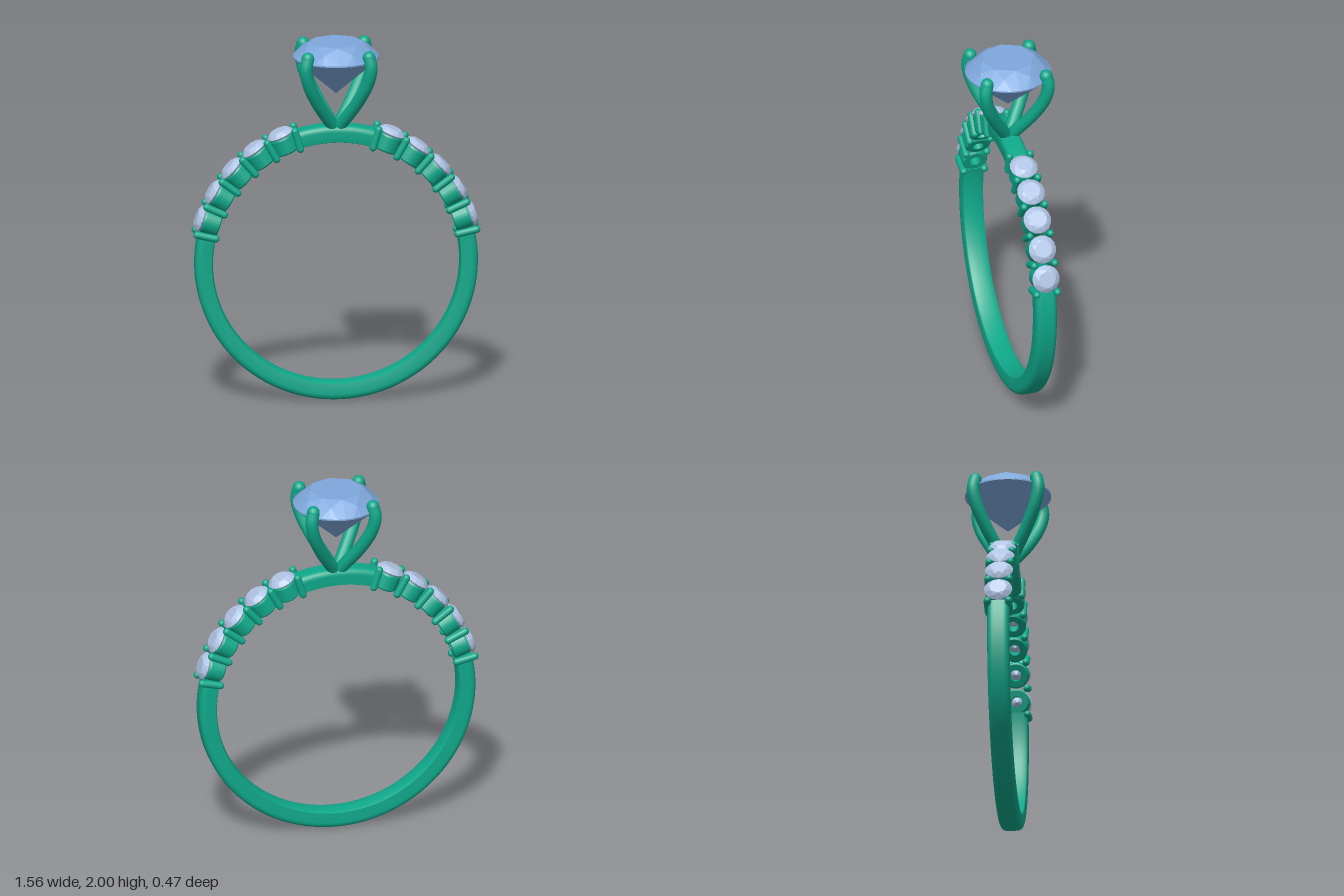
import * as THREE from 'three';
import { ConvexGeometry } from 'three/addons/geometries/ConvexGeometry.js';

const CENTRE_Y = 0.77;
const DEG = Math.PI / 180;

const metal = new THREE.MeshStandardMaterial({ color: 0x0fa88a, side: THREE.DoubleSide });
const blueStone = new THREE.MeshStandardMaterial({ color: 0x7fa8dc, flatShading: true });
const paleStone = new THREE.MeshStandardMaterial({ color: 0xb0c4e4, flatShading: true });

function add(parent, name, geometry, material) {
  const mesh = new THREE.Mesh(geometry, material);
  mesh.name = name;
  parent.add(mesh);
  return mesh;
}

// Brilliant cut as a convex hull; the girdle lies at y = 0 with radius 1
function brilliant(girdleCount) {
  const points = [new THREE.Vector3(0, -0.89, 0)];
  const ring = (count, radius, y, offset = 0) => {
    for (let i = 0; i < count; i++) {
      const a = (i + offset) / count * Math.PI * 2;
      points.push(new THREE.Vector3(Math.cos(a) * radius, y, Math.sin(a) * radius));
    }
  };
  ring(8, 0.62, 0.34);
  ring(8, 0.81, 0.215, 0.5);
  ring(girdleCount, 1, 0.015);
  ring(girdleCount, 1, -0.02);
  return new ConvexGeometry(points);
}

// Rounded band section: x is the distance from the finger axis, y the width
function bandSection() {
  const s = new THREE.Shape();
  s.moveTo(0.68, -0.058);
  s.lineTo(0.735, -0.06);
  s.quadraticCurveTo(0.77, -0.058, 0.77, -0.025);
  s.lineTo(0.77, 0.025);
  s.quadraticCurveTo(0.77, 0.058, 0.735, 0.06);
  s.lineTo(0.68, 0.058);
  s.quadraticCurveTo(0.67, 0.04, 0.67, 0);
  s.quadraticCurveTo(0.67, -0.04, 0.68, -0.058);
  return s;
}

// Arc of the band; angles are measured from the bottom of the ring
function bandArc(parent, name, from, to, segments) {
  const arc = new THREE.Group();
  arc.name = name;
  arc.position.y = CENTRE_Y;
  const section = bandSection();
  const geometry = new THREE.LatheGeometry(section.getPoints(6), segments, from * DEG, (to - from) * DEG);
  geometry.rotateX(Math.PI / 2);
  add(arc, name + 'Body', geometry, metal);
  for (const angle of [from, to]) {
    const cap = new THREE.ShapeGeometry(section, 6);
    cap.rotateX(Math.PI / 2);
    cap.rotateZ((angle - 90) * DEG);
    add(arc, name + 'End', cap, metal);
  }
  parent.add(arc);
}

// Group whose y axis points outwards from the ring centre, tilted from the top
function radial(parent, name, tilt) {
  const g = new THREE.Group();
  g.name = name;
  g.position.y = CENTRE_Y;
  g.rotation.z = -tilt * DEG;
  parent.add(g);
  return g;
}

export function createModel() {
  const ring = new THREE.Group();
  ring.name = 'ring';

  // Plain band: long lower arc and short bridge under the head
  bandArc(ring, 'lowerBand', -104, 104, 96);
  bandArc(ring, 'topBridge', 162.5, 197.5, 24);

  // Shoulder stones in open cups, with pairs of beads between them
  const smallStone = brilliant(16).scale(0.077, 0.077, 0.077);
  const cupProfile = [[0.03, 0.672], [0.062, 0.672], [0.07, 0.68], [0.07, 0.757], [0.066, 0.767],
    [0.06, 0.767], [0.03, 0.725], [0.03, 0.672]].map(([x, y]) => new THREE.Vector2(x, y));
  const beadGeometry = new THREE.CapsuleGeometry(0.02, 0.105, 6, 14);

  for (const side of [1, -1]) {
    for (let i = 0; i < 5; i++) {
      const seat = radial(ring, 'shoulderSeat', side * (23 + 12 * i));
      const cup = new THREE.LatheGeometry(cupProfile, 32).toNonIndexed();
      cup.computeVertexNormals();
      add(seat, 'cup', cup, metal);
      add(seat, 'shoulderStone', smallStone, paleStone).position.y = 0.778;
    }
    for (let i = 0; i < 6; i++) {
      const pair = radial(ring, 'shoulderProngs', side * (17 + 12 * i));
      for (const z of [-0.058, 0.058]) {
        add(pair, 'shoulderProng', beadGeometry, metal).position.set(0, 0.728, z);
      }
    }
  }

  // Head: four curved claws on the diagonals, closing over the main stone
  const head = new THREE.Group();
  head.name = 'head';
  ring.add(head);
  const clawPath = new THREE.CatmullRomCurve3([[0.01, 1.51], [0.05, 1.56], [0.15, 1.68],
    [0.225, 1.8], [0.25, 1.89], [0.235, 1.952]].map(([x, y]) => new THREE.Vector3(x, y, 0)));
  const clawGeometry = new THREE.TubeGeometry(clawPath, 32, 0.035, 14);
  const tipGeometry = new THREE.SphereGeometry(0.035, 16, 12);
  for (let i = 0; i < 4; i++) {
    const claw = new THREE.Group();
    claw.name = 'claw';
    claw.rotation.y = (45 + 90 * i) * DEG;
    add(claw, 'clawArm', clawGeometry, metal);
    add(claw, 'clawTip', tipGeometry, metal).position.set(0.235, 1.952, 0);
    head.add(claw);
  }

  // Main stone
  const main = add(head, 'mainStone', brilliant(32), blueStone);
  main.scale.setScalar(0.235);
  main.position.y = 1.92;

  return ring;
}
